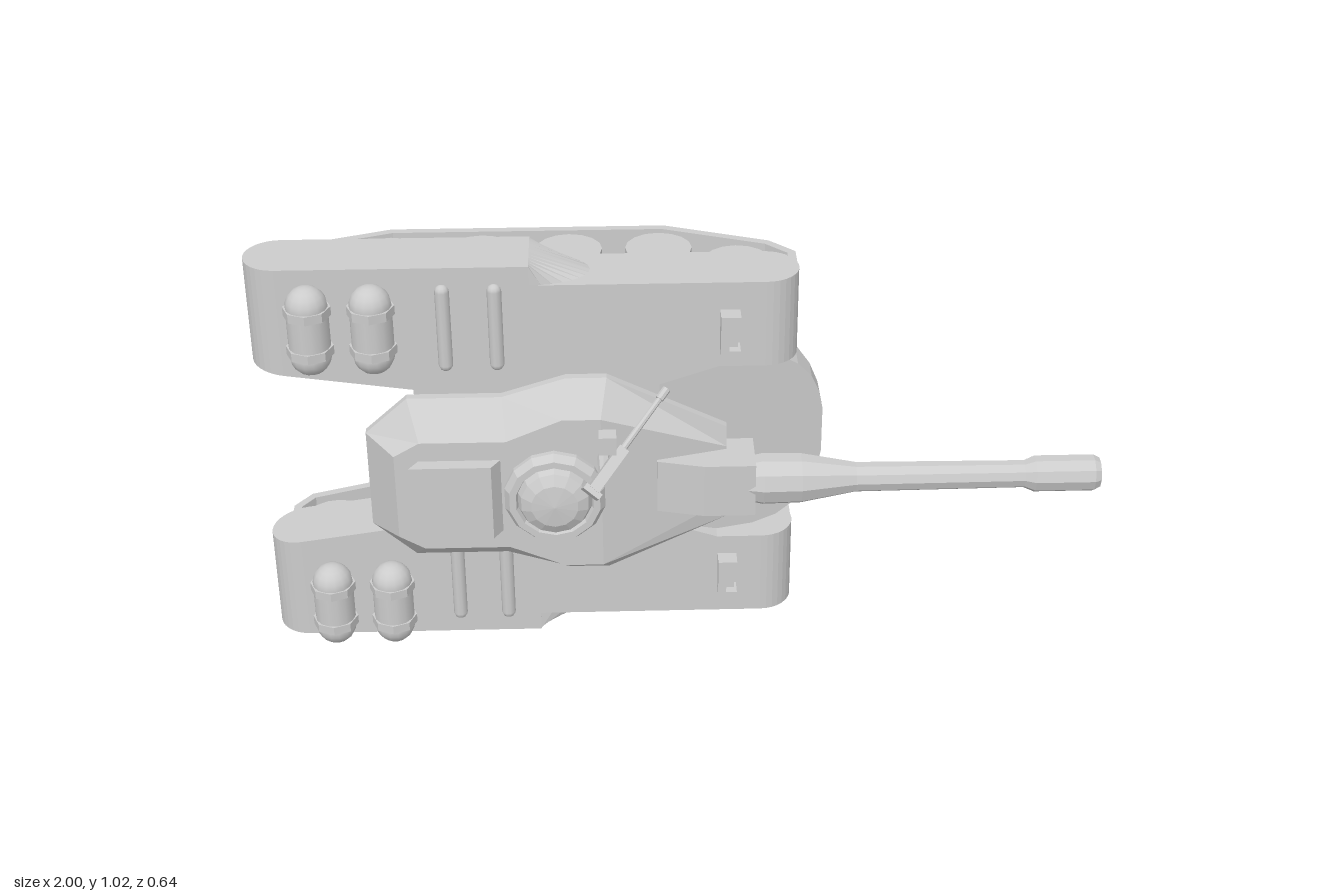
import * as THREE from 'three';

const mat = new THREE.MeshStandardMaterial({ color: 0xcccccc, flatShading: true, side: THREE.DoubleSide });
const smooth = new THREE.MeshStandardMaterial({ color: 0xcccccc });

function add(parent, name, geo, pos = [0, 0, 0], material = mat) {
  const m = new THREE.Mesh(geo, material);
  m.name = name;
  m.position.set(...pos);
  parent.add(m);
  return m;
}

// Skins rings of [x, y, z] points; ring halves mirror each other so caps are strips.
function loft(rings) {
  const n = rings[0].length, p = rings.flat(), idx = [];
  const quad = (a, b, c, d) => idx.push(a, b, c, a, c, d);
  for (let r = 0; r < rings.length - 1; r++)
    for (let i = 0; i < n; i++) {
      const j = (i + 1) % n;
      quad(r * n + i, r * n + j, (r + 1) * n + j, (r + 1) * n + i);
    }
  const last = (rings.length - 1) * n;
  for (let i = 0; i < n / 2 - 1; i++) {
    quad(i, n - 1 - i, n - 2 - i, i + 1);
    quad(last + i, last + i + 1, last + n - 2 - i, last + n - 1 - i);
  }
  // Turn the faces outwards when the enclosed volume is negative
  let volume = 0;
  const v = p.map(q => new THREE.Vector3(...q));
  for (let i = 0; i < idx.length; i += 3)
    volume += v[idx[i]].dot(v[idx[i + 1]].clone().cross(v[idx[i + 2]]));
  if (volume < 0) idx.reverse();
  const g = new THREE.BufferGeometry();
  g.setAttribute('position', new THREE.Float32BufferAttribute(p.flat(), 3));
  g.setIndex(idx);
  const out = g.toNonIndexed();
  out.computeVertexNormals();
  return out;
}

// Outline in x/z with elliptical ends, plus extra points on the straight sides
function stadium(x0, x1, r0, r1, mids = []) {
  const half = [], N = 8, r = 0.08;
  for (let i = 0; i <= N; i++) {
    const a = i / N * Math.PI / 2;
    half.push([x0 + r0 * (1 - Math.cos(a)), r * Math.sin(a)]);
  }
  mids.forEach(x => half.push([x, r]));
  for (let i = 0; i <= N; i++) {
    const a = i / N * Math.PI / 2;
    half.push([x1 - r1 * (1 - Math.sin(a)), r * Math.cos(a)]);
  }
  const low = half.slice().reverse().map(([x, z]) => [x, -z]);
  return [...half, ...low].map(([x, z]) => [x, z - 0.06]);
}

const path = pts => pts.map(q => new THREE.Vector2(...q));

function addSide(root, s) {
  const side = new THREE.Group();
  side.name = s > 0 ? 'upperTrackSide' : 'lowerTrackSide';
  root.add(side);

  // Fender, with the inner face tapering towards the hull
  const inner = x => x < -0.62 ? 0.245 - (x + 1) / 0.38 * 0.055 : x < 0 ? 0.19 : 0.24;
  const f = stadium(-1, 0.29, 0.08, 0.08, [-0.62, -0.05, 0.1]);
  add(side, 'fender', loft([f.map(([x, z]) => [x, s * inner(x), z]), f.map(([x, z]) => [x, s * 0.46, z])]));

  // Wider rear skirt with a slanted front end
  const k = stadium(-1, -0.17, 0.08, 0.17);
  add(side, 'skirt', loft([k.map(([x, z]) => [x, s * 0.45, z]), k.map(([x, z]) => [Math.min(x, -0.34), s * 0.508, z])]));

  // Track band and road wheels
  const band = new THREE.Shape(path([[-0.96, -0.1], [-0.96, -0.18], [-0.92, -0.235], [-0.68, -0.32],
    [-0.02, -0.32], [0.23, -0.228], [0.29, -0.168], [0.29, -0.1]]));
  band.holes.push(new THREE.Path(path([[-0.94, -0.11], [-0.94, -0.175], [-0.91, -0.217], [-0.675, -0.3],
    [-0.025, -0.3], [0.22, -0.21], [0.27, -0.16], [0.27, -0.11]])));
  const bandGeo = new THREE.ExtrudeGeometry(band, { depth: 0.19, bevelEnabled: false });
  bandGeo.rotateX(Math.PI / 2);
  add(side, 'trackBand', bandGeo, [0, s * 0.35 + 0.095, 0]);
  for (const [x, z] of [[-0.85, -0.14], [-0.68, -0.215], [-0.46, -0.22], [-0.25, -0.22], [-0.035, -0.22], [0.15, -0.145]])
    add(side, 'roadWheel', new THREE.CylinderGeometry(0.08, 0.08, 0.17, 16), [x, s * 0.35, z]);

  // Fuel drums with straps
  for (const x of [-0.845, -0.7]) {
    add(side, 'fuelDrum', new THREE.CapsuleGeometry(0.049, 0.125, 5, 14), [x, s * 0.38, 0.07], smooth);
    for (const dy of [-0.05, 0.05])
      add(side, 'drumStrap', new THREE.CylinderGeometry(0.055, 0.055, 0.022, 8), [x, s * 0.38 + dy, 0.07]);
  }
  // Ribs
  for (const x of [-0.54, -0.42])
    add(side, 'rib', new THREE.CapsuleGeometry(0.017, 0.19, 4, 10), [x, s * 0.354, 0.021], smooth);

  // Lamp bracket: back plate with two arms
  add(side, 'lampPlate', new THREE.BoxGeometry(0.02, 0.1, 0.045), [0.112, s * 0.34, 0.04]);
  for (const dy of [-0.044, 0.044])
    add(side, 'lampArm', new THREE.BoxGeometry(0.045, 0.012, 0.045), [0.126, s * 0.34 + dy, 0.04]);
  add(side, 'lamp', new THREE.BoxGeometry(0.025, 0.076, 0.025), [0.13, s * 0.34, 0.028]);
}

// Turret ring from [x, halfWidth, z] points, rear to front
const mirrorRing = pts => [...pts, ...pts.slice().reverse().map(([x, y, z]) => [x, -y, z])];

export function createModel() {
  const root = new THREE.Group();
  root.name = 'tank';
  const body = new THREE.Group();
  body.name = 'body';
  body.position.y = 0.51;
  root.add(body);

  // Hull: stations of [x at top, x at bottom, half width]
  const top = x => Math.min(0.02, 0.02 - (x + 0.04) * 0.26);
  const bottom = x => Math.max(-0.24, -0.24 + (x - 0.19) * 0.7);
  const stations = [[-0.62, -0.51, 0.24], [-0.04, -0.04, 0.24], [0.19, 0.19, 0.24], [0.25, 0.25, 0.225], [0.295, 0.295, 0.195],
    [0.33, 0.33, 0.155], [0.35, 0.35, 0.11], [0.36, 0.36, 0.06]];
  add(body, 'hull', loft(stations.map(([a, b, w]) =>
    [[a, w, top(a)], [b, w, bottom(b)], [b, -w, bottom(b)], [a, -w, top(a)]])));

  addSide(body, 1);
  addSide(body, -1);

  // Turret
  const ringGeo = new THREE.CylinderGeometry(0.215, 0.215, 0.06, 24);
  ringGeo.rotateX(Math.PI / 2);
  add(body, 'turretRing', ringGeo, [-0.22, 0, 0.04]);
  const plan = [[-0.73, 0.125], [-0.63, 0.215], [-0.41, 0.215], [-0.26, 0.262], [-0.165, 0.262], [0.115, 0.125]];
  const level = (z, k) => mirrorRing(plan.map(([x, y]) => [-0.3 + (x + 0.3) * k, y * k, z]));
  const roof = mirrorRing([[-0.66, 0.11, 0.192], [-0.6, 0.145, 0.192], [-0.4, 0.145, 0.192],
    [-0.27, 0.2, 0.192], [-0.18, 0.2, 0.192], [0.115, 0.075, 0.112]]);
  add(body, 'turret', loft([level(0.06, 0.9), level(0.085, 1), level(0.105, 1), roof]));

  // Rear hatch box with a slanted front
  const hatch = (x0, x1, z) => [[x0, 0.097, z], [x1, 0.097, z], [x1, -0.097, z], [x0, -0.097, z]];
  add(body, 'rearHatch', loft([hatch(-0.6, -0.41, 0.185), hatch(-0.625, -0.435, 0.226)]));

  // Cupola
  const cupola = new THREE.LatheGeometry(path([[0.12, 0.18], [0.12, 0.205], [0.108, 0.225], [0.092, 0.225],
    [0.088, 0.212], [0.08, 0.232], [0.055, 0.246], [0, 0.252]]), 14);
  cupola.rotateX(Math.PI / 2);
  add(body, 'cupola', cupola, [-0.29, 0, 0]);

  // Main gun
  const mantlet = (x, w, z0, z1) => [[x, w, z0], [x, w, z1], [x, -w, z1], [x, -w, z0]];
  add(body, 'mantlet', loft([mantlet(-0.05, 0.068, 0.07, 0.165), mantlet(0.06, 0.068, 0.065, 0.192), mantlet(0.18, 0.068, 0.065, 0.192)]));
  const gun = new THREE.LatheGeometry(path([[0, 0.12], [0.045, 0.12], [0.062, 0.2], [0.06, 0.29], [0.036, 0.42], [0.033, 0.82],
    [0.044, 0.845], [0.044, 0.985], [0.036, 1], [0, 1]]), 10);
  gun.rotateZ(-Math.PI / 2);
  add(body, 'mainGun', gun, [0, 0, 0.138]);

  // Roof machine gun, aimed forwards and down to one side
  const mg = new THREE.Group();
  mg.name = 'machineGun';
  mg.position.set(-0.165, 0.11, 0.262);
  mg.quaternion.setFromUnitVectors(new THREE.Vector3(0, 1, 0), new THREE.Vector3(0.15, 0.14, -0.15).normalize());
  body.add(mg);
  add(mg, 'receiver', new THREE.BoxGeometry(0.026, 0.12, 0.032));
  add(mg, 'gunBarrel', new THREE.CylinderGeometry(0.007, 0.008, 0.18, 8), [0, 0.14, 0]);
  add(mg, 'muzzle', new THREE.CylinderGeometry(0.01, 0.01, 0.03, 8), [0, 0.22, 0]);
  add(mg, 'grip', new THREE.BoxGeometry(0.045, 0.015, 0.03), [0, -0.065, 0]);
  add(body, 'ammoBox', new THREE.BoxGeometry(0.04, 0.045, 0.04), [-0.165, 0.165, 0.235]);
  const post = new THREE.CylinderGeometry(0.012, 0.016, 0.08, 8);
  post.rotateX(Math.PI / 2);
  add(body, 'gunPost', post, [-0.175, 0.1, 0.22]);
  return root;
}
